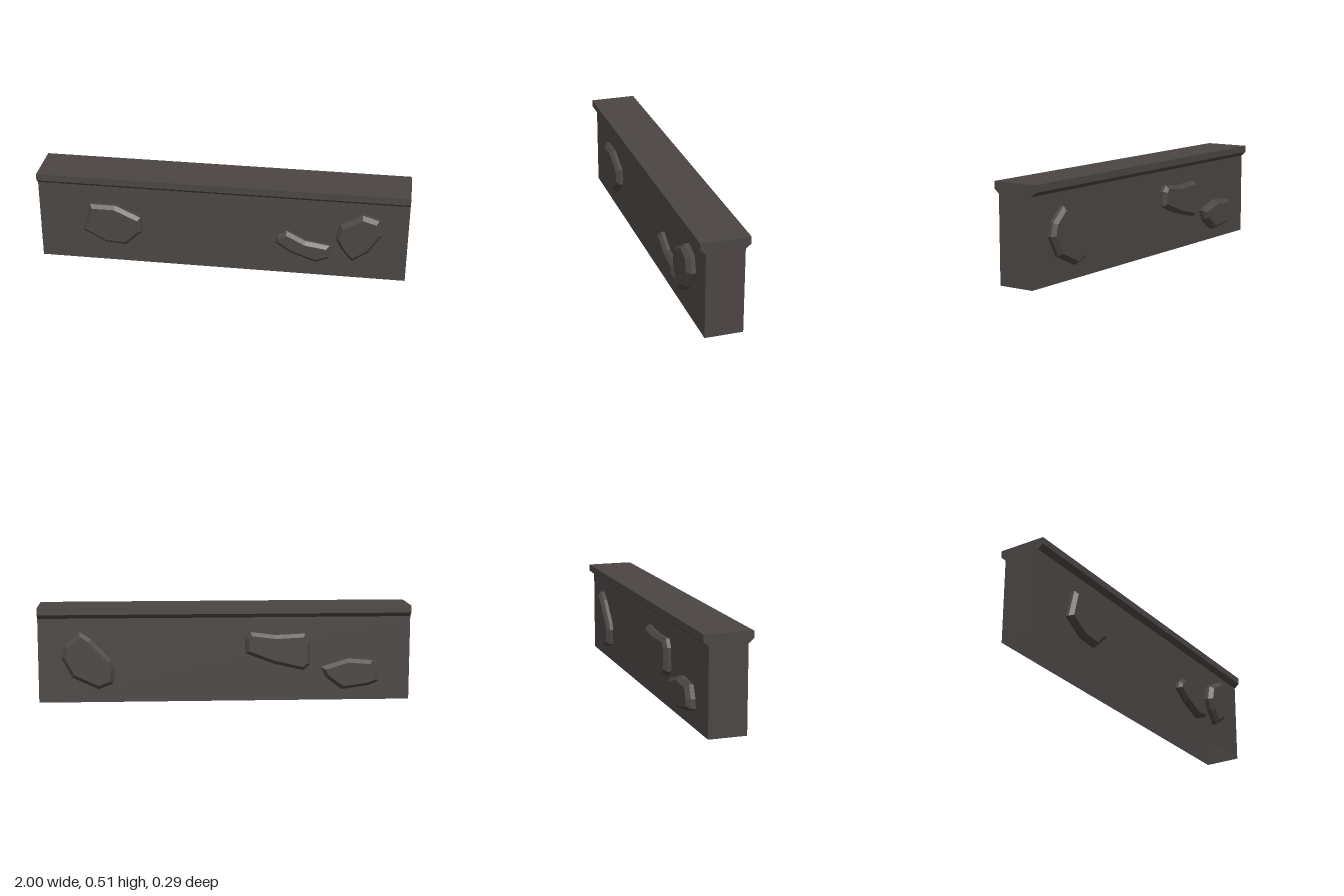
import * as THREE from 'three';

const stoneMat = new THREE.MeshStandardMaterial({ color: 0x4b4644, side: THREE.DoubleSide });
stoneMat.name = 'darkStone';

// Flat-shaded geometry from a plain list of triangle corners
function fromCorners(corners) {
  const g = new THREE.BufferGeometry().setFromPoints(corners);
  g.computeVertexNormals();
  return g;
}

const quad = (a, b, c, d) => [a, b, c, a, c, d];

function addMesh(parent, geometry, name) {
  const mesh = new THREE.Mesh(geometry, stoneMat);
  mesh.name = name;
  parent.add(mesh);
  return mesh;
}

// Move every edge of a counter-clockwise outline inwards by d, with mitred corners
function inset(pts, d) {
  const n = pts.length;
  return pts.map((p, i) => {
    const e1 = p.clone().sub(pts[(i + n - 1) % n]).normalize();
    const e2 = pts[(i + 1) % n].clone().sub(p).normalize();
    const n1 = new THREE.Vector2(-e1.y, e1.x);
    const n2 = new THREE.Vector2(-e2.y, e2.x);
    const mitre = n1.clone().add(n2).multiplyScalar(d / (1 + n1.dot(n2)));
    return p.clone().add(mitre);
  });
}

// Raised stone: straight rim, bevel and flat face, open towards the wall
function stoneGeometry(outline, zRim, zFace) {
  const pts = outline.map(([x, y]) => new THREE.Vector2(x, y));
  if (THREE.ShapeUtils.isClockWise(pts)) pts.reverse();
  const face = inset(pts, 0.019);
  const ring = (list, z) => list.map((p) => new THREE.Vector3(p.x, p.y, z));
  const rings = [ring(pts, 0.1), ring(pts, zRim), ring(face, zFace)];
  const corners = [];
  for (let r = 0; r < 2; r++) {
    for (let i = 0; i < pts.length; i++) {
      const j = (i + 1) % pts.length;
      corners.push(...quad(rings[r][i], rings[r][j], rings[r + 1][j], rings[r + 1][i]));
    }
  }
  for (const tri of THREE.ShapeUtils.triangulateShape(face, [])) {
    corners.push(...tri.map((k) => rings[2][k]));
  }
  return fromCorners(corners);
}

export function createModel() {
  const model = new THREE.Group();
  model.name = 'stoneWall';

  // Wall shell with a flared coping, open underneath: (z, y) section
  const half = [[0.1, 0], [0.1, 0.455], [0.128, 0.478], [0.128, 0.515]];
  const section = [...half, ...half.map(([z, y]) => [-z, y]).reverse()];
  const wall = [];
  for (let i = 0; i < section.length - 1; i++) {
    const [z0, y0] = section[i];
    const [z1, y1] = section[i + 1];
    wall.push(...quad(
      new THREE.Vector3(-1, y0, z0), new THREE.Vector3(1, y0, z0),
      new THREE.Vector3(1, y1, z1), new THREE.Vector3(-1, y1, z1)));
  }
  addMesh(model, fromCorners(wall), 'wallShell');

  // End faces
  const endShape = new THREE.Shape(section.map(([z, y]) => new THREE.Vector2(z, y)));
  for (const side of [1, -1]) {
    const end = addMesh(model, new THREE.ShapeGeometry(endShape), side > 0 ? 'leftEnd' : 'rightEnd');
    end.rotation.y = side * Math.PI / 2;
    end.position.x = side;
  }

  // Stones on the front: outline, rim depth, face depth
  const frontStones = [
    [[[-0.76, 0.19], [-0.715, 0.35], [-0.575, 0.35], [-0.437, 0.285], [-0.43, 0.2],
      [-0.52, 0.115], [-0.635, 0.122]], 0.118, 0.136],
    [[[0.295, 0.195], [0.303, 0.235], [0.355, 0.27], [0.46, 0.215], [0.59, 0.195],
      [0.592, 0.12], [0.515, 0.09], [0.375, 0.14]], 0.118, 0.135],
    [[[0.62, 0.245], [0.64, 0.33], [0.755, 0.398], [0.845, 0.37], [0.865, 0.285],
      [0.8, 0.18], [0.71, 0.115], [0.65, 0.185]], 0.124, 0.146],
  ];
  // Stones on the back, in the same coordinates
  const backStones = [
    [[[0.877, 0.245], [0.86, 0.313], [0.776, 0.387], [0.717, 0.347], [0.61, 0.235],
      [0.593, 0.19], [0.6, 0.105], [0.68, 0.075], [0.82, 0.14]], 0.12, 0.138],
    [[[-0.11, 0.345], [-0.135, 0.378], [-0.27, 0.361], [-0.43, 0.368], [-0.458, 0.324],
      [-0.46, 0.2], [-0.42, 0.167], [-0.26, 0.205], [-0.11, 0.262]], 0.12, 0.138],
    [[[-0.515, 0.185], [-0.658, 0.23], [-0.794, 0.22], [-0.823, 0.153], [-0.828, 0.105],
      [-0.775, 0.082], [-0.63, 0.062], [-0.54, 0.13]], 0.124, 0.145],
  ];
  frontStones.forEach(([outline, rim, face], i) => {
    addMesh(model, stoneGeometry(outline, rim, face), `frontStone${i + 1}`);
  });
  backStones.forEach(([outline, rim, face], i) => {
    const turned = outline.map(([x, y]) => [-x, y]);
    addMesh(model, stoneGeometry(turned, rim, face), `backStone${i + 1}`).rotation.y = Math.PI;
  });

  return model;
}
